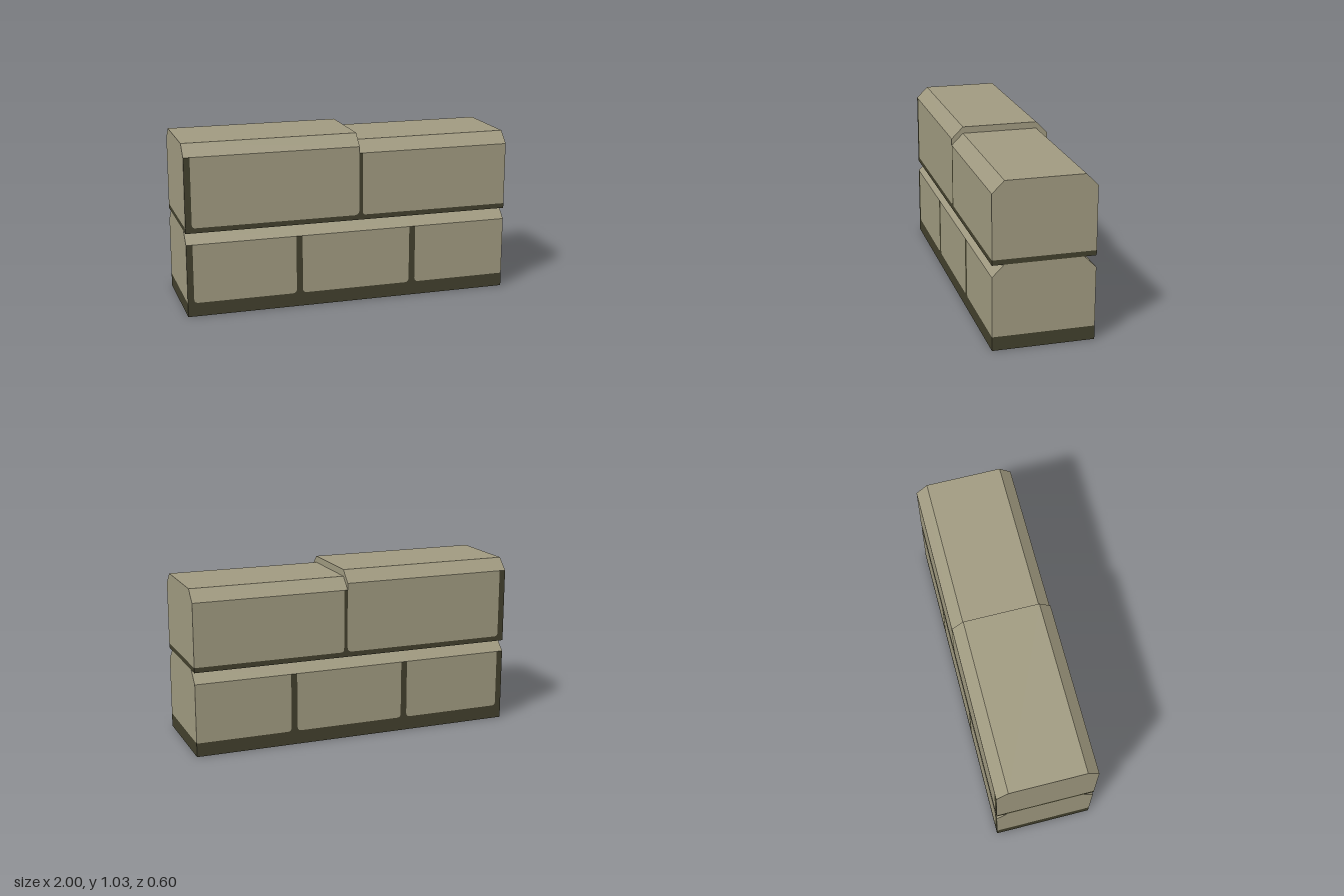
import * as THREE from 'three';

const stone = new THREE.MeshStandardMaterial({ color: 0xa09a80, side: THREE.DoubleSide });
stone.name = 'stone';
const mortar = new THREE.MeshStandardMaterial({ color: 0x42402d, side: THREE.DoubleSide });
mortar.name = 'dark mortar';

const HALF = 0.3;    // half depth of the wall
const BEVEL = 0.07;  // chamfer along the long top edges

function add(parent, name, geometry, material) {
  const mesh = new THREE.Mesh(geometry, material);
  mesh.name = name;
  parent.add(mesh);
  return mesh;
}

// Long side of a block: a rounded stone panel with mortar on its -x edge and below
function addSides(group, { x0, x1, y0, y1, seam, bed, r, rEnd }) {
  const top = y1 - BEVEL, left = x0 + seam, floor = y0 + bed;
  const trace = (shape) => {
    shape.lineTo(left, top);
    shape.lineTo(left, floor + r);
    shape.quadraticCurveTo(left, floor, left + r, floor);
    shape.lineTo(x1 - rEnd, floor);
    if (rEnd > 0) shape.quadraticCurveTo(x1, floor, x1, floor + rEnd);
    return shape;
  };
  const panel = trace(new THREE.Shape().moveTo(x1, top));
  const frame = trace(new THREE.Shape().moveTo(x1, y0).lineTo(x0, y0).lineTo(x0, top));
  for (const [side, z] of [['front', HALF], ['back', -HALF]]) {
    add(group, side + 'Panel', new THREE.ShapeGeometry(panel, 5), stone).position.z = z;
    add(group, side + 'Mortar', new THREE.ShapeGeometry(frame, 5), mortar).position.z = z;
  }
}

// Flat top with a chamfer on each long edge
function addCap(group, { x0, x1, y1 }) {
  const profile = [[-HALF, y1 - BEVEL], [-HALF + BEVEL, y1], [HALF - BEVEL, y1], [HALF, y1 - BEVEL]];
  const pos = [];
  for (let i = 0; i < 3; i++) {
    const [za, ya] = profile[i], [zb, yb] = profile[i + 1];
    pos.push(x0, ya, za, x0, yb, zb, x1, yb, zb, x0, ya, za, x1, yb, zb, x1, ya, za);
  }
  const geometry = new THREE.BufferGeometry();
  geometry.setAttribute('position', new THREE.Float32BufferAttribute(pos, 3));
  geometry.computeVertexNormals();
  add(group, 'cap', geometry, stone);
}

// Cross wall closing a block, with a mortar strip along its foot
function addEnd(group, x, { y0, y1, bed }) {
  const floor = y0 + bed;
  const wall = new THREE.Shape([
    [-HALF, floor], [HALF, floor], [HALF, y1 - BEVEL],
    [HALF - BEVEL, y1], [BEVEL - HALF, y1], [-HALF, y1 - BEVEL],
  ].map(([u, v]) => new THREE.Vector2(u, v)));
  const strip = new THREE.PlaneGeometry(2 * HALF, bed).translate(0, y0 + bed / 2, 0);
  for (const [name, geometry, material] of [
    ['endWall', new THREE.ShapeGeometry(wall), stone],
    ['endMortar', strip, mortar],
  ]) {
    const mesh = add(group, name, geometry, material);
    mesh.rotation.y = Math.PI / 2;
    mesh.position.x = x;
  }
}

export function createModel() {
  const model = new THREE.Group();
  model.name = 'stoneBlockWall';

  const lower = { y0: 0, y1: 0.51, bed: 0.083, seam: 0.038, r: 0.025 };
  const upper = { y0: 0.51, bed: 0.03, r: 0.02 };
  const blocks = [
    { ...lower, name: 'lowerBlock1', x0: -1, x1: -0.338, rEnd: 0.025 },
    { ...lower, name: 'lowerBlock2', x0: -0.338, x1: 0.377, rEnd: 0.025 },
    { ...lower, name: 'lowerBlock3', x0: 0.377, x1: 1, rEnd: 0, closed: true },
    { ...upper, name: 'upperBlock1', x0: -1, x1: 0.055, y1: 1.03, seam: 0.038, rEnd: 0.03, closed: true },
    { ...upper, name: 'upperBlock2', x0: 0.055, x1: 1, y1: 0.99, seam: 0.022, rEnd: 0, closed: true, open: true },
  ];

  // Neighbours share a cross wall; the blocks have no underside
  for (const block of blocks) {
    const group = new THREE.Group();
    group.name = block.name;
    addSides(group, block);
    addCap(group, block);
    if (!block.open) addEnd(group, block.x0, block);
    if (block.closed) addEnd(group, block.x1, block);
    model.add(group);
  }
  return model;
}
